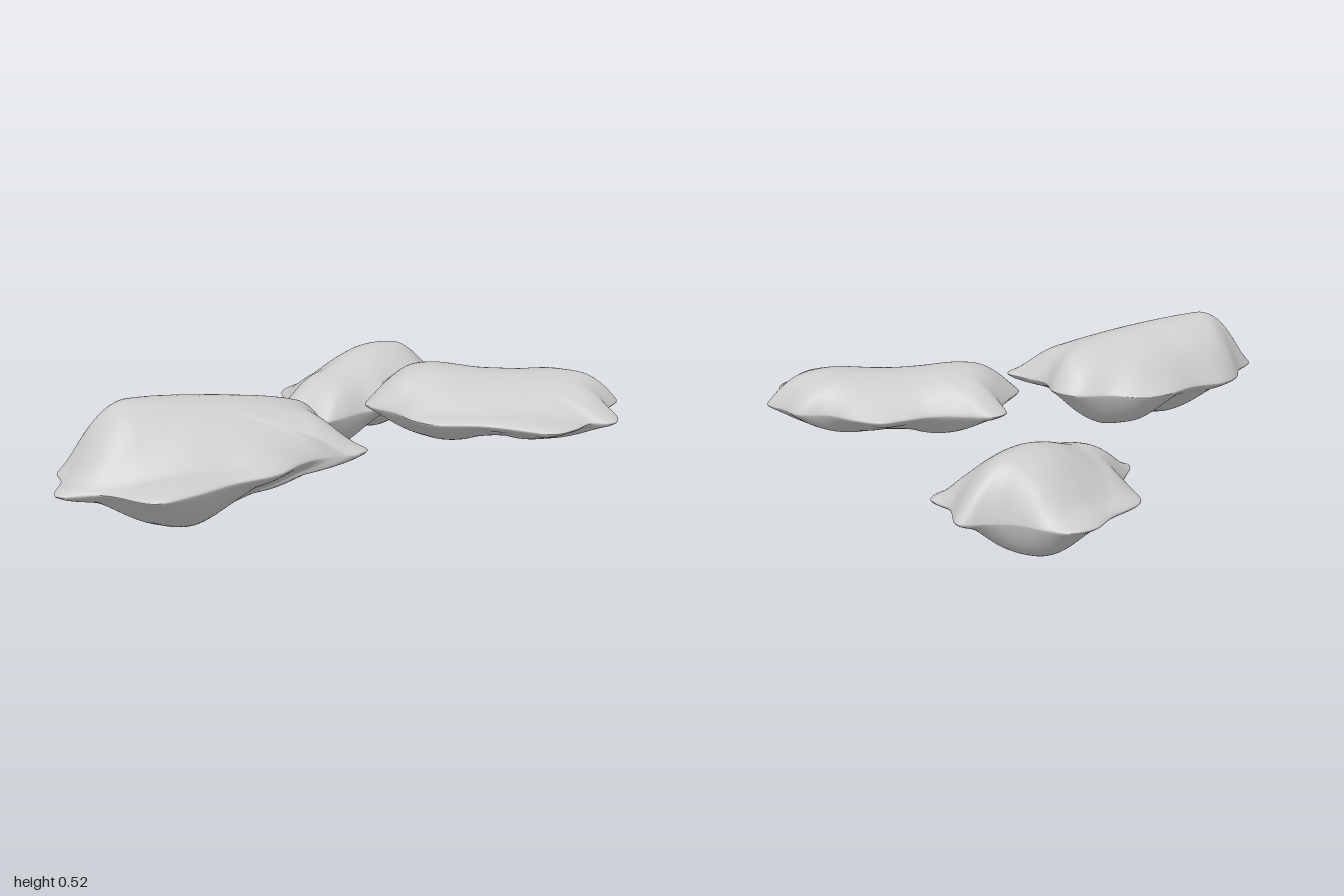
import * as THREE from 'three';

const SEG = 160, RINGS = 30, LIP = 0.02;
const material = new THREE.MeshStandardMaterial({ color: 0xcccccc });

// Rounded fall-off from 1 at the middle to 0 at the radius
const dome = (d, radius) => Math.max(0, 1 - (d / radius) ** 2) ** 1.5;

// Soft ridge: a spine from a to b whose height falls away over a radius
function ridge(ax, az, ah, bx, bz, bh, radius) {
  const dx = bx - ax, dz = bz - az;
  return (x, z) => {
    const s = THREE.MathUtils.clamp(((x - ax) * dx + (z - az) * dz) / (dx * dx + dz * dz), 0, 1);
    return THREE.MathUtils.lerp(ah, bh, s) * dome(Math.hypot(x - ax - s * dx, z - az - s * dz), radius);
  };
}

// Soft round lump
const lump = (cx, cz, height, radius) => (x, z) => height * dome(Math.hypot(x - cx, z - cz), radius);

// One half of a rock: rings running from the centre out to the lobed rim
function halfShell(name, sign, outline, centre, slope, base, swells) {
  const positions = [], index = [];
  const addPoint = (t, p) => {
    const x = THREE.MathUtils.lerp(centre.x, p.x, t), z = THREE.MathUtils.lerp(centre.z, p.z, t);
    let h = base * (1 - t * t) + LIP * Math.sqrt(1 - t ** 6);
    for (const swell of swells) h += swell(x, z) * (1 - t ** 10);
    positions.push(x, centre.y + slope * (x - centre.x) + sign * h, z);
  };
  addPoint(0, centre);
  for (let r = 1; r <= RINGS; r++) {
    const t = Math.sin((r / RINGS) * Math.PI / 2);
    for (let i = 0; i < SEG; i++) addPoint(t, outline[i]);
  }
  const tri = (a, b, c) => (sign > 0 ? index.push(a, c, b) : index.push(a, b, c));
  for (let i = 0; i < SEG; i++) {
    const j = (i + 1) % SEG;
    tri(0, 1 + i, 1 + j);
    for (let r = 0; r < RINGS - 1; r++) {
      const a = 1 + r * SEG, b = a + SEG;
      tri(a + i, b + i, b + j);
      tri(a + i, b + j, a + j);
    }
  }
  const geometry = new THREE.BufferGeometry();
  geometry.setAttribute('position', new THREE.Float32BufferAttribute(positions, 3));
  geometry.setIndex(index);
  geometry.computeVertexNormals();
  const mesh = new THREE.Mesh(geometry, material);
  mesh.name = name;
  return mesh;
}

// A rock: lobe tips and hollows of its rim (x, z), then base swell and lumps above and below
function rock(name, centre, slope, rim, topBase, topSwells, lowBase, lowSwells) {
  const curve = new THREE.CatmullRomCurve3(rim.map(([x, z]) => new THREE.Vector3(x, 0, z)), true);
  const outline = curve.getSpacedPoints(SEG);
  const group = new THREE.Group();
  group.name = name;
  group.add(
    halfShell('upperSide', 1, outline, centre, slope, topBase, topSwells),
    halfShell('underside', -1, outline, centre, slope, lowBase, lowSwells),
  );
  return group;
}

export function createModel() {
  const model = new THREE.Group();
  model.name = 'floatingRocks';

  // Large rock at the front
  model.add(rock('frontRock', new THREE.Vector3(-0.48, 0.285, 0.48), 0.03,
    [[-1, 0.57], [-0.93, 0.47], [-0.89, 0.36], [-0.82, 0.29], [-0.68, 0.24], [-0.55, 0.14], [-0.45, 0.1],
      [-0.33, 0.13], [-0.17, 0.13], [-0.1, 0.19], [-0.08, 0.3], [0, 0.37], [0.06, 0.43], [0.02, 0.48],
      [-0.1, 0.5], [-0.16, 0.54], [-0.24, 0.64], [-0.38, 0.71], [-0.5, 0.8], [-0.62, 0.86], [-0.8, 0.78],
      [-0.96, 0.78], [-0.97, 0.65]],
    0.035, [ridge(-0.77, 0.5, 0.195, -0.2, 0.32, 0.115, 0.27)],
    0.08, [lump(-0.6, 0.57, 0.11, 0.29), lump(-0.35, 0.29, 0.095, 0.27)]));

  // Flat rock at the side
  model.add(rock('sideRock', new THREE.Vector3(0.53, 0.345, 0.04), 0,
    [[0.05, 0.08], [0.1, -0.03], [0.13, -0.1], [0.12, -0.18], [0.17, -0.22], [0.28, -0.2], [0.4, -0.19],
      [0.5, -0.22], [0.58, -0.24], [0.67, -0.2], [0.77, -0.13], [0.88, -0.11], [0.94, -0.04], [1, 0.02],
      [0.95, 0.12], [0.97, 0.22], [0.94, 0.28], [0.86, 0.28], [0.8, 0.34], [0.72, 0.39], [0.64, 0.37],
      [0.54, 0.33], [0.46, 0.31], [0.3, 0.3], [0.22, 0.25], [0.16, 0.17]],
    0.02, [ridge(0.24, 0, 0.105, 0.83, 0.04, 0.088, 0.25), lump(0.53, 0.02, -0.02, 0.24)],
    0.055, [lump(0.32, 0.06, 0.065, 0.28), lump(0.72, 0.06, 0.05, 0.28)]));

  // Small rock at the back
  model.add(rock('backRock', new THREE.Vector3(0.02, 0.17, -0.55), 0.03,
    [[-0.32, -0.28], [-0.29, -0.38], [-0.26, -0.43], [-0.29, -0.52], [-0.3, -0.62], [-0.18, -0.74],
      [-0.11, -0.83], [-0.02, -0.87], [0.06, -0.84], [0.15, -0.79], [0.24, -0.78], [0.34, -0.78],
      [0.36, -0.65], [0.42, -0.57], [0.39, -0.52], [0.29, -0.48], [0.21, -0.43], [0.15, -0.36],
      [0.05, -0.32], [-0.04, -0.25], [-0.11, -0.21], [-0.22, -0.26]],
    0.035, [ridge(-0.1, -0.43, 0.095, 0.18, -0.67, 0.125, 0.24), lump(0.05, -0.63, 0.04, 0.24)],
    0.05, [lump(-0.1, -0.41, 0.11, 0.23), lump(0.08, -0.67, 0.108, 0.23)]));

  return model;
}
